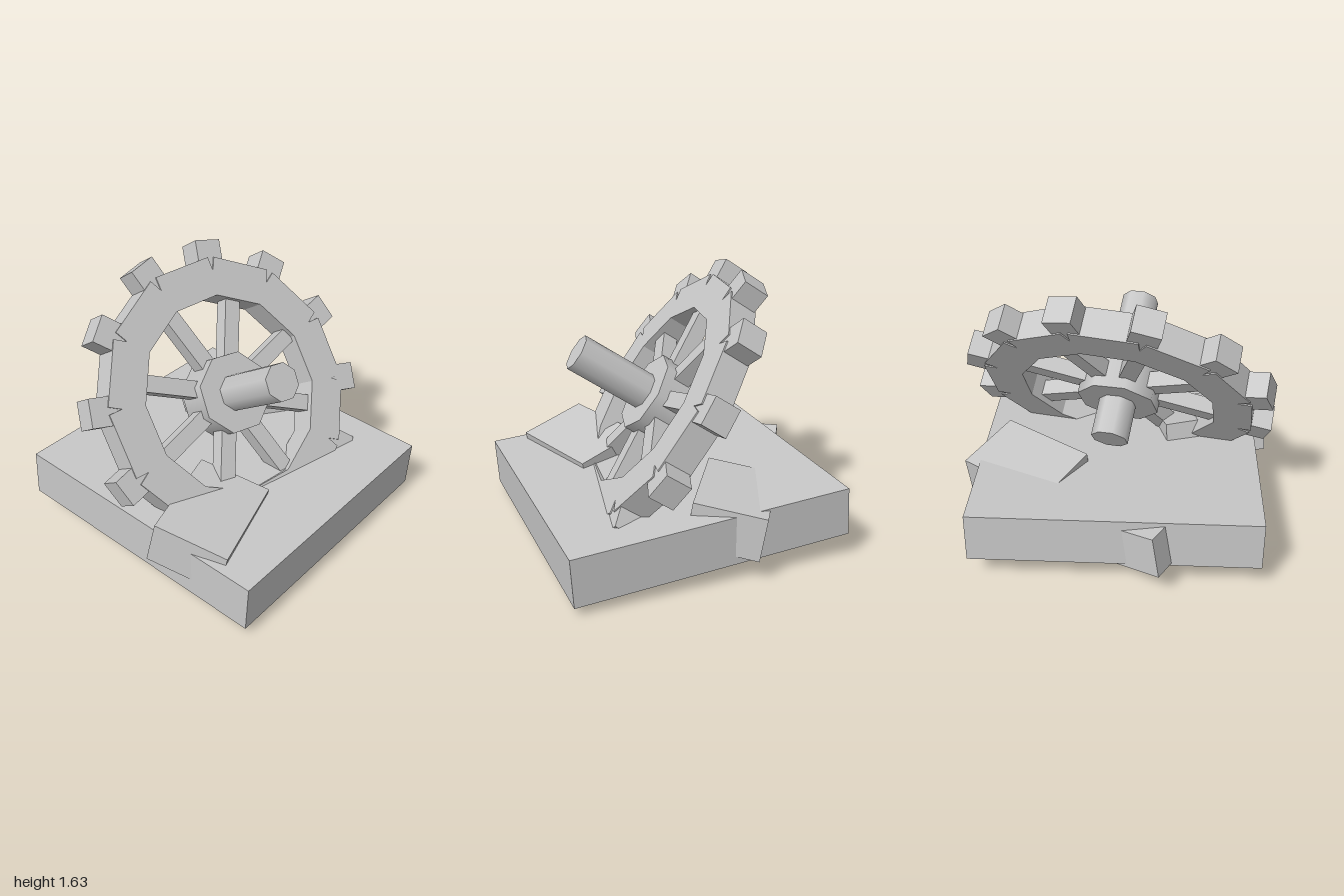
import * as THREE from 'three';

export function createModel() {
  const model = new THREE.Group();
  const stone = new THREE.MeshStandardMaterial({ color: 0xc8c8c8 });
  stone.name = 'pale grey';
  const deg = Math.PI / 180;

  const add = (parent, name, geometry) => {
    const mesh = new THREE.Mesh(geometry, stone);
    mesh.name = name;
    parent.add(mesh);
    return mesh;
  };

  // Leaning base slab
  const base = add(model, 'baseSlab', new THREE.BoxGeometry(1.68, 0.295, 1.68));
  base.rotation.set(0.06, 0.2, 0, 'YXZ');
  base.position.y = 0.257;

  // Tilted wheel, its axle along local z
  const wheel = new THREE.Group();
  wheel.name = 'wheel';
  wheel.position.set(-0.005, 0.82, 0);
  wheel.rotation.x = -0.593;
  model.add(wheel);

  // Repeats a box around the wheel between an inner and an outer radius
  const ring = (name, count, offset, inner, outer, width, depth) => {
    const group = new THREE.Group();
    group.name = name + 's';
    wheel.add(group);
    const geometry = new THREE.BoxGeometry(outer - inner, width, depth);
    geometry.translate((inner + outer) / 2, 0, 0);
    for (let i = 0; i < count; i++) {
      add(group, name, geometry).rotation.z = offset * deg + (i * 2 * Math.PI) / count;
    }
  };
  ring('rimSegment', 12, 2, 0.573, 0.802, 0.385, 0.176);
  ring('tooth', 12, 17, 0.7, 0.932, 0.168, 0.16);
  ring('spoke', 8, 19, 0.15, 0.62, 0.1, 0.1);

  // Eight-sided hub and axle
  const octagon = (name, radius, length, z) => {
    const geometry = new THREE.CylinderGeometry(radius, radius, length, 8, 1, false, 17.5 * deg);
    geometry.rotateX(Math.PI / 2);
    add(wheel, name, geometry).position.z = z;
  };
  octagon('hub', 0.247, 0.23, 0);
  octagon('axle', 0.112, 0.95, 0.123);

  // Half-buried blocks, each given by a top corner and the two edges leaving it
  const block = (name, corner, edge1, edge2, thickness) => {
    const a = new THREE.Vector3(...edge1);
    const b = new THREE.Vector3(...edge2);
    const l1 = a.length(), l2 = b.length();
    a.normalize();
    const up = new THREE.Vector3().crossVectors(a, b).normalize();
    if (up.y < 0) up.negate();
    b.addScaledVector(a, -a.dot(b)).normalize();
    const geometry = new THREE.BoxGeometry(l1, thickness, l2);
    const mesh = add(model, name, geometry);
    // Keep the basis right-handed; the box is symmetric along its edges
    const side = new THREE.Vector3().crossVectors(a, up);
    mesh.quaternion.setFromRotationMatrix(new THREE.Matrix4().makeBasis(a, up, side));
    mesh.position.set(...corner)
      .addScaledVector(a, l1 / 2)
      .addScaledVector(b, l2 / 2)
      .addScaledVector(up, -thickness / 2);
  };
  block('frontBlock', [-0.84, 0.51, 0.41], [0.21, -0.1, 0.38], [0.57, 0, -0.315], 0.27);
  block('sideBlock', [0.865, 0.412, -0.44], [-0.155, 0.065, 0.39], [-0.57, 0, -0.23], 0.27);
  block('backBlock', [-0.4, 0.43, -0.88], [-0.16, 0.008, 0.43], [0.6, -0.11, 0.235], 0.26);

  return model;
}
